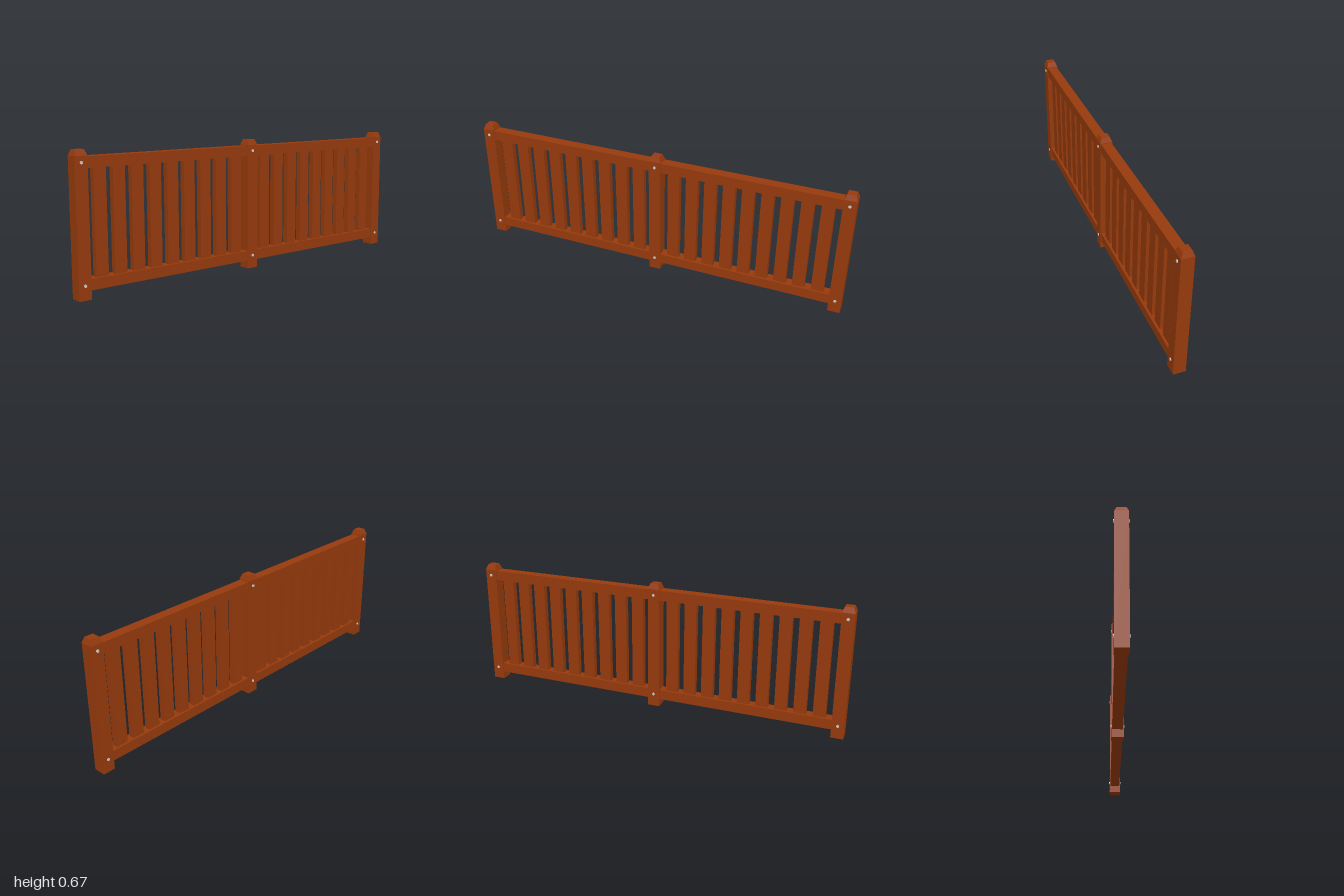
import * as THREE from 'three';

const wood = new THREE.MeshStandardMaterial({ color: 0x963a0c, flatShading: true });
const metal = new THREE.MeshStandardMaterial({ color: 0xcccccc, flatShading: true });

const POST = 0.0625;        // post width
const POST_Z = [-0.969, 0, 0.969];
const RAIL_Y = [0.067, 0.615];

export function createModel() {
  const fence = new THREE.Group();
  fence.name = 'fence';

  function add(name, geometry, material, x, y, z) {
    const mesh = new THREE.Mesh(geometry, material);
    mesh.name = name;
    mesh.position.set(x, y, z);
    fence.add(mesh);
    return mesh;
  }

  // Post: square section that tapers to a smaller flat top
  const shaftHeight = 0.645, capHeight = 0.027;
  const shaftGeo = new THREE.CylinderGeometry(POST / Math.SQRT2, POST / Math.SQRT2, shaftHeight, 4, 1)
    .rotateY(Math.PI / 4);
  const capGeo = new THREE.CylinderGeometry(0.042 / Math.SQRT2, POST / Math.SQRT2, capHeight, 4, 1)
    .rotateY(Math.PI / 4);
  const boltGeo = new THREE.CylinderGeometry(0.0075, 0.0075, 0.006, 8).rotateZ(Math.PI / 2);

  for (const z of POST_Z) {
    add('post', shaftGeo, wood, 0, shaftHeight / 2, z);
    add('postCap', capGeo, wood, 0, shaftHeight + capHeight / 2, z);
    // Bolt heads on both faces, level with the rails
    for (const y of RAIL_Y) {
      for (const side of [-1, 1]) add('bolt', boltGeo, metal, side * 0.032, y, z);
    }
  }

  // Rails and slats for the two bays
  const bay = 0.969 - POST;
  const railGeo = new THREE.BoxGeometry(0.054, 0.052, bay);
  const slatGeo = new THREE.BoxGeometry(0.03, RAIL_Y[1] - RAIL_Y[0], 0.0625);
  for (const side of [-1, 1]) {
    for (const y of RAIL_Y) add('rail', railGeo, wood, 0, y, side * 0.969 / 2);
    for (let i = 1; i <= 9; i++) {
      add('slat', slatGeo, wood, 0, (RAIL_Y[0] + RAIL_Y[1]) / 2, side * i * 0.0969);
    }
  }
  return fence;
}
